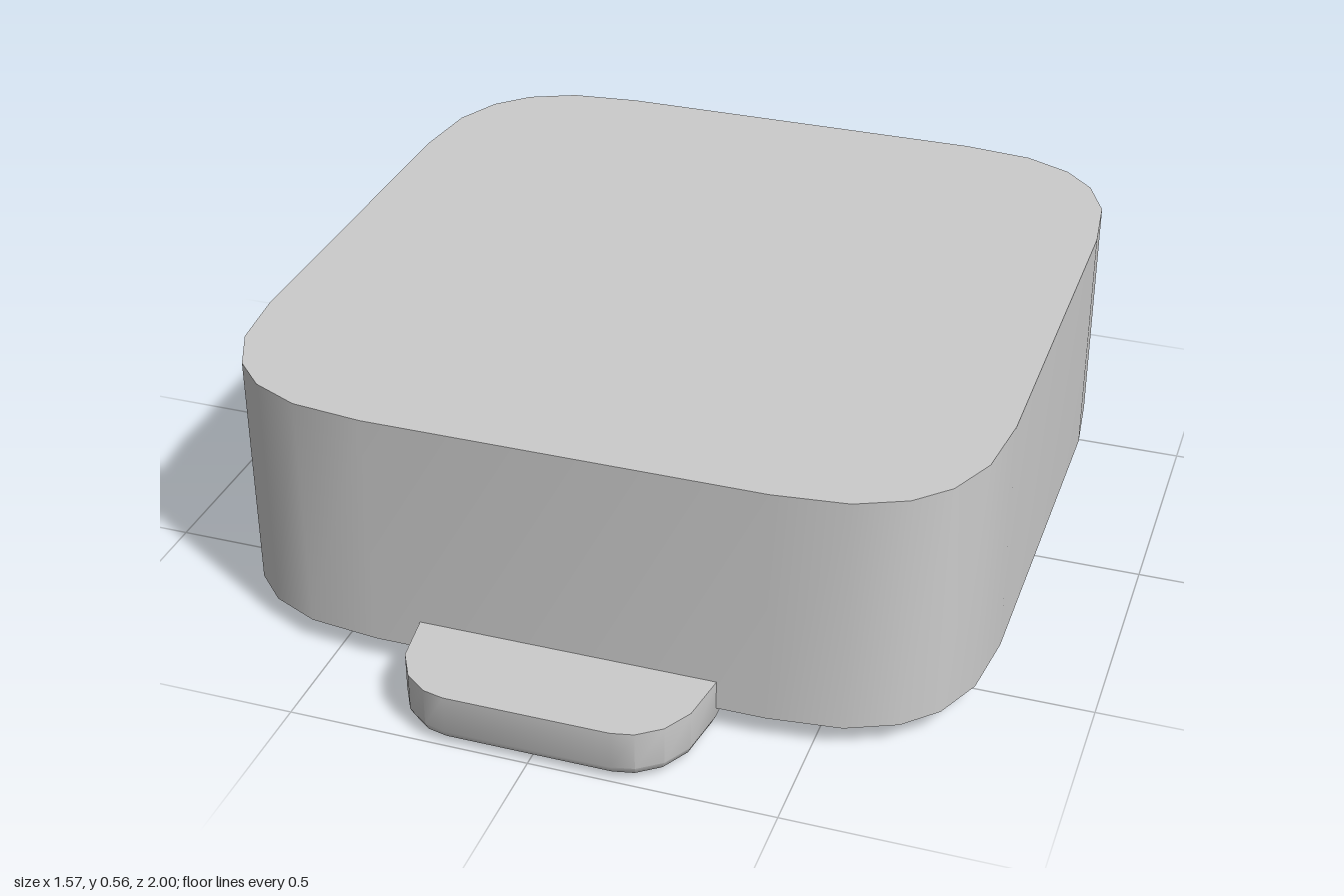
import * as THREE from 'three';
import { toCreasedNormals } from 'three/addons/utils/BufferGeometryUtils.js';

const material = new THREE.MeshStandardMaterial({ color: 0xcccccc });

// Skin a stack of convex rings (bottom to top) and cap both ends.
function loft(name, rings) {
  const n = rings[0].length;
  const pos = [];
  const index = [];
  rings.forEach((ring) => ring.forEach((p) => pos.push(...p)));
  for (let k = 0; k < rings.length - 1; k++) {
    for (let i = 0; i < n; i++) {
      const a = k * n + i, b = k * n + (i + 1) % n;
      index.push(a, a + n, b, b, a + n, b + n);
    }
  }
  const top = (rings.length - 1) * n;
  for (let i = 1; i < n - 1; i++) {
    index.push(0, i, i + 1, top, top + i + 1, top + i);
  }
  const geo = new THREE.BufferGeometry();
  geo.setAttribute('position', new THREE.Float32BufferAttribute(pos, 3));
  geo.setIndex(index);
  const mesh = new THREE.Mesh(toCreasedNormals(geo, 0.55), material);
  mesh.name = name;
  return mesh;
}

// Soft square outline at height y, moved inward by a constant inset.
const CORNER = [[0.787, 0.41], [0.77, 0.56], [0.725, 0.66], [0.66, 0.725], [0.56, 0.77], [0.41, 0.787]];
function softSquare(y, inset) {
  const ring = [];
  for (let q = 0; q < 4; q++) {
    CORNER.forEach(([px, pz], i) => {
      const t = (i / 5) * Math.PI / 2;
      let x = px - inset * Math.cos(t);
      let z = pz - inset * Math.sin(t);
      for (let r = 0; r < q; r++) [x, z] = [-z, x];
      ring.push([x, y, z]);
    });
  }
  return ring;
}

// Tab outline: straight sides with two rounded outer corners.
const TAB = [[0.31, 0.79], [0.295, 0.895], [0.262, 0.955], [0.215, 0.99], [0.17, 1.0]];
function tabRing(y, inset) {
  const half = TAB.map(([x, z], i) => {
    const t = (i / 4) * Math.PI / 2;
    return [x - inset * Math.cos(t), y, z - inset * Math.sin(t)];
  });
  half.unshift([0.31 - inset, y, 0.6]);
  return [...half, ...half.map(([x, yy, z]) => [-x, yy, z]).reverse()];
}

export function createModel() {
  const model = new THREE.Group();
  model.name = 'squareCase';

  // Main body and its bevelled foot
  model.add(loft('body', [softSquare(0.052, 0), softSquare(0.565, 0)]));
  model.add(loft('bevelledBase', [softSquare(0, 0.155), softSquare(0.06, 0.04)]));

  // Tabs at the front and back, rounded along the lower edge
  const profile = [[0.003, 0.04], [0.008, 0.022], [0.018, 0.008], [0.034, 0], [0.115, 0]];
  ['frontTab', 'backTab'].forEach((name, i) => {
    const tab = loft(name, profile.map(([y, inset]) => tabRing(y, inset)));
    tab.rotation.y = i * Math.PI;
    model.add(tab);
  });
  return model;
}
